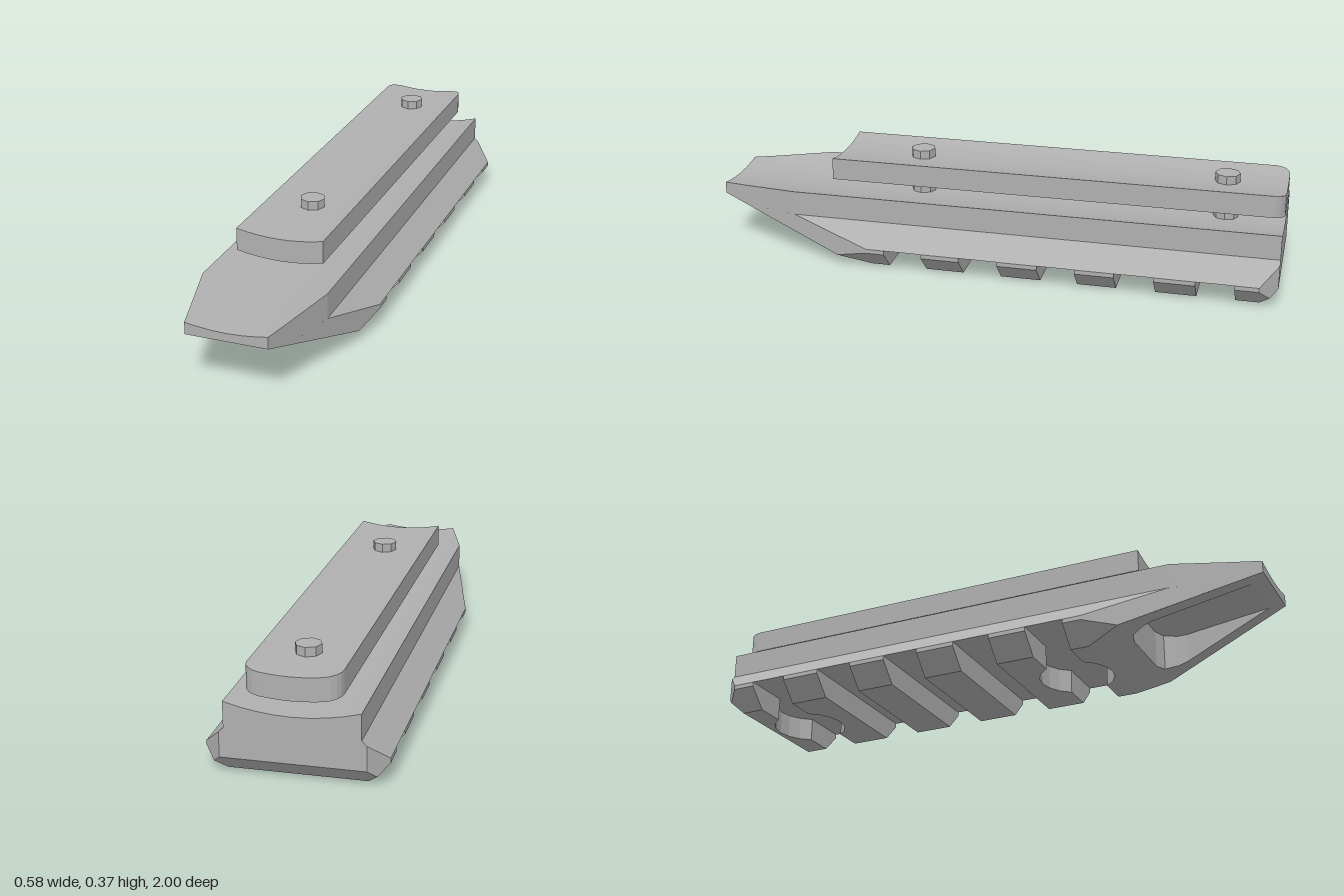
import * as THREE from 'three';
import { mergeGeometries } from 'three/addons/utils/BufferGeometryUtils.js';

const FLOOR = 0.083;   // height of the slot floors
const BORE_R = 0.13;
const BORES = [0.2875, -0.795];

// Half width and underside height of the rail along its length
const halfWidth = z => z < -0.94 ? 1.228 + z : z > 0.42 ? 0.288 - 0.2603 * (z - 0.42) : 0.288;
const underside = z => z < -0.94 ? -z - 0.94 : z > 0.42 ? 0.319 * (z - 0.42) : 0;
const bottomHalf = z => Math.min(0.22 + underside(z), halfWidth(z));

const mirror = pts => pts.map(([x, ...r]) => [-x, ...r]).reverse();
const both = pts => [...pts, ...mirror(pts)];

// Skin between successive rows of 3D points
function loft(rows, closed = false) {
  const pos = [];
  for (let i = 0; i + 1 < rows.length; i++) {
    const p = rows[i], q = rows[i + 1], n = p.length;
    for (let j = 0; j < (closed ? n : n - 1); j++) {
      const k = (j + 1) % n;
      pos.push(...p[j], ...p[k], ...q[k], ...p[j], ...q[k], ...q[j]);
    }
  }
  const g = new THREE.BufferGeometry();
  g.setAttribute('position', new THREE.Float32BufferAttribute(pos, 3));
  return g;
}

const toShape = pts => new THREE.Shape(pts.map(p => new THREE.Vector2(p[0], p[1])));

// Downward-facing surface from an (x, z) outline
function plan(outline, height, hole) {
  const s = toShape(outline);
  if (hole) s.holes.push(toShape(hole));
  const g = new THREE.ShapeGeometry(s), p = g.attributes.position;
  for (let i = 0; i < p.count; i++) {
    const z = p.getY(i);
    p.setXYZ(i, p.getX(i), height(z), z);
  }
  return g;
}

// Upright face at z, facing front (1) or back (-1)
function face(pts, z, dir) {
  const g = new THREE.ShapeGeometry(toShape(pts));
  if (dir < 0) g.rotateY(Math.PI);
  return g.translate(0, 0, z);
}

// Rail outline at z, from lower +x edge over the concave top to lower -x edge
function railSection(z) {
  const w = halfWidth(z), b = underside(z);
  const neck = Math.min(0.213, w), wide = Math.min(0.288, w);
  const half = [
    [bottomHalf(z), b, z],
    [wide, Math.max(wide - 0.22, b), z],
    [wide, Math.max(Math.min(0.371 - wide, 0.158), b), z],
    [neck, Math.max(0.158, b), z],
  ];
  for (let i = 4; i > 0; i--) {
    const x = Math.min(0.213 * i / 4, w);
    half.push([x, 0.213 + 0.683 * x * x, z]);
  }
  return [...half, [0, 0.213, z], ...mirror(half)];
}

// Clamp plate outline at z, with rounded back corners
function plateSection(z) {
  const d = Math.max(0, -0.95 - z);
  const w = 0.1 + Math.sqrt(Math.max(0, 0.0025 - d * d));
  const low = [], high = [];
  for (let i = -4; i <= 4; i++) {
    const x = THREE.MathUtils.clamp(0.15 * i / 4, -w, w), y = 0.264 + 0.73 * x * x;
    low.push([x, y, z]);
    high.unshift([x, y + 0.077, z]);
  }
  return [...low, ...high];
}

export function createModel() {
  const model = new THREE.Group();
  const grey = new THREE.MeshStandardMaterial({ color: 0xb0b0b0 });
  grey.name = 'grey';

  function add(name, ...geos) {
    const clean = geos.map(g => {
      const n = g.index ? g.toNonIndexed() : g;
      n.deleteAttribute('uv');
      n.deleteAttribute('normal');
      return n;
    });
    const geo = mergeGeometries(clean);
    geo.computeVertexNormals();
    const mesh = new THREE.Mesh(geo, grey);
    mesh.name = name;
    model.add(mesh);
    return mesh;
  }

  // Upper rail body with end faces and slot floor
  const stations = [-1, -0.974, -0.94, 0.42, 0.537, 0.708, 0.912, 0.915, 1];
  add('railBody',
    loft(stations.map(z => railSection(z).slice(2, -2))),
    face(railSection(1), 1, 1),
    face(railSection(-1), -1, -1),
    plan(both([[0.288, -0.93], [0.288, 0.42]]), () => FLOOR));

  // Teeth: back z, front z, bore biting the back edge, bore biting the front edge
  const teeth = [
    [0.355, 1, BORES[0], null], [0.085, 0.22, null, BORES[0]],
    [-0.19, -0.05], [-0.455, -0.32],
    [-0.73, -0.59, BORES[1], null], [-1, -0.86, null, BORES[1]],
  ];
  // Arc of a bore beyond the given edge, running around the bore
  const boreArc = (c, edge) => {
    const a0 = Math.asin(Math.abs(edge - c) / BORE_R), start = edge > c ? a0 : Math.PI + a0;
    return Array.from({ length: 7 }, (_, i) => {
      const a = start + (Math.PI - 2 * a0) * i / 6;
      return [BORE_R * Math.cos(a), c + BORE_R * Math.sin(a)];
    });
  };
  teeth.forEach(([z0, z1, backBore = null, frontBore = null]) => {
    const zs = [z0, ...stations.filter(z => z > z0 && z < z1), z1];
    const rows = zs.map(railSection);
    const geos = [loft(rows.map(r => r.slice(0, 3))), loft(rows.map(r => r.slice(-3)))];
    const flat0 = Math.max(z0, -0.94), flat1 = Math.min(z1, 0.42);
    const outline = [[0.22, flat0], [0.22, flat1]];
    if (frontBore !== null) outline.push(...boreArc(frontBore, z1).reverse());
    outline.push([-0.22, flat1], [-0.22, flat0]);
    if (backBore !== null) outline.push(...boreArc(backBore, z0).reverse());
    geos.push(plan(outline, () => 0));
    [[z0, backBore, -1], [z1, frontBore, 1]].forEach(([z, bore, dir]) => {
      if (Math.abs(z) === 1) return;
      let inner = 0;
      if (bore !== null) {
        const arc = boreArc(bore, z);
        inner = Math.abs(arc[0][0]);
        geos.push(loft([0, FLOOR].map(y => arc.map(([x, d]) => [x, y, d]))));
      }
      const half = [[inner, 0], [0.22, 0], [0.288, 0.068], [0.288, FLOOR], [inner, FLOOR]];
      geos.push(face(half, z, dir), face(mirror(half), z, dir));
    });
    add('railTooth', ...geos);
  });

  // Sloping nose underside with a pocket, and the bevel under the back end
  const pocket = both([[0.11, 0.54], [0.155, 0.555], [0.178, 0.6], [0.178, 0.633], [0.097, 0.953]]);
  const under = zs => both(zs.map(z => [bottomHalf(z), z]));
  add('noseUnderside', plan(under([0.42, 0.537, 1]), underside, pocket));
  add('nosePocket',
    loft([underside, () => 0.17].map(f => pocket.map(([x, z]) => [x, f(z), z])), true),
    plan(pocket, () => 0.17));
  add('backBevel', plan(under([-1, -0.974, -0.94]), underside));

  // Clamp plate
  const plateZ = [-1, -0.996, -0.985, -0.97, -0.95, 0.58];
  add('clampPlate',
    loft(plateZ.map(plateSection), true),
    face(plateSection(0.58), 0.58, 1),
    face(plateSection(-1), -1, -1));

  // Bolts through plate and rail
  BORES.forEach(z => {
    add('bolt', new THREE.CylinderGeometry(0.043, 0.043, 0.272, 8)).position.set(0, 0.236, z);
  });

  return model;
}
